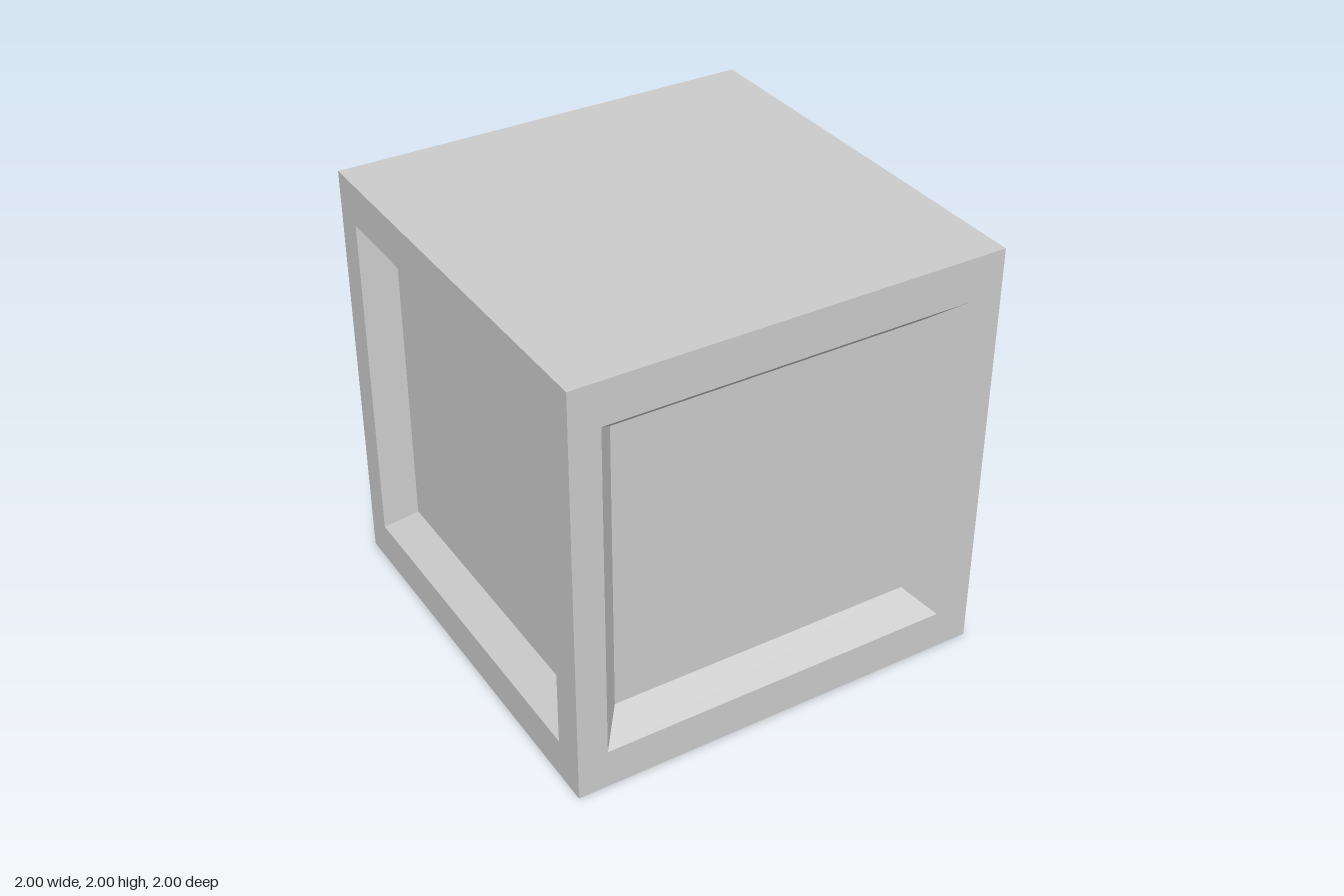
import * as THREE from 'three';

const DEPTH = 0.13; // recess depth
const BEVEL = 0.11; // width of the sloping rim

const rect = (x0, x1, y0, y1, z) => [[x0, y0, z], [x1, y0, z], [x1, y1, z], [x0, y1, z]];

// Flat quads between two four-corner loops, outer to inner
function bandQuads(outer, inner) {
  return outer.map((p, i) => [p, outer[(i + 1) % 4], inner[(i + 1) % 4], inner[i]]);
}

function quadMesh(name, quads, material) {
  const positions = quads.flatMap(([a, b, c, d]) => [a, b, c, a, c, d]).flat();
  const geometry = new THREE.BufferGeometry();
  geometry.setAttribute('position', new THREE.Float32BufferAttribute(positions, 3));
  geometry.computeVertexNormals();
  const mesh = new THREE.Mesh(geometry, material);
  mesh.name = name;
  return mesh;
}

// One side wall facing +z: flat frame, sloping rim and recessed panel
function sideWall(name, left, right, turn, material) {
  const edge = rect(-1, 1, 0, 2, 1);
  const opening = rect(left, right, 0.19, 1.8, 1);
  const floor = rect(left + BEVEL, right - BEVEL, 0.19 + BEVEL, 1.8 - BEVEL, 1 - DEPTH);
  const wall = new THREE.Group();
  wall.name = name;
  wall.add(
    quadMesh('frame', bandQuads(edge, opening), material),
    quadMesh('slopingRim', bandQuads(opening, floor), material),
    quadMesh('recessedPanel', [floor], material),
  );
  wall.rotation.y = turn * Math.PI / 2;
  return wall;
}

export function createModel() {
  const material = new THREE.MeshStandardMaterial({ color: 0xcccccc, flatShading: true });
  const crate = new THREE.Group();
  crate.name = 'crate';

  // Four recessed sides, each opening slightly off centre
  crate.add(
    sideWall('frontSide', -0.86, 0.83, 0, material),
    sideWall('leftSide', -0.84, 0.86, 1, material),
    sideWall('backSide', -0.83, 0.86, 2, material),
    sideWall('rightSide', -0.86, 0.84, 3, material),
  );

  // Plain lid and base
  for (const [name, y, angle] of [['lid', 2, -Math.PI / 2], ['base', 0, Math.PI / 2]]) {
    const plate = new THREE.Mesh(new THREE.PlaneGeometry(2, 2), material);
    plate.name = name;
    plate.position.y = y;
    plate.rotation.x = angle;
    crate.add(plate);
  }
  return crate;
}
